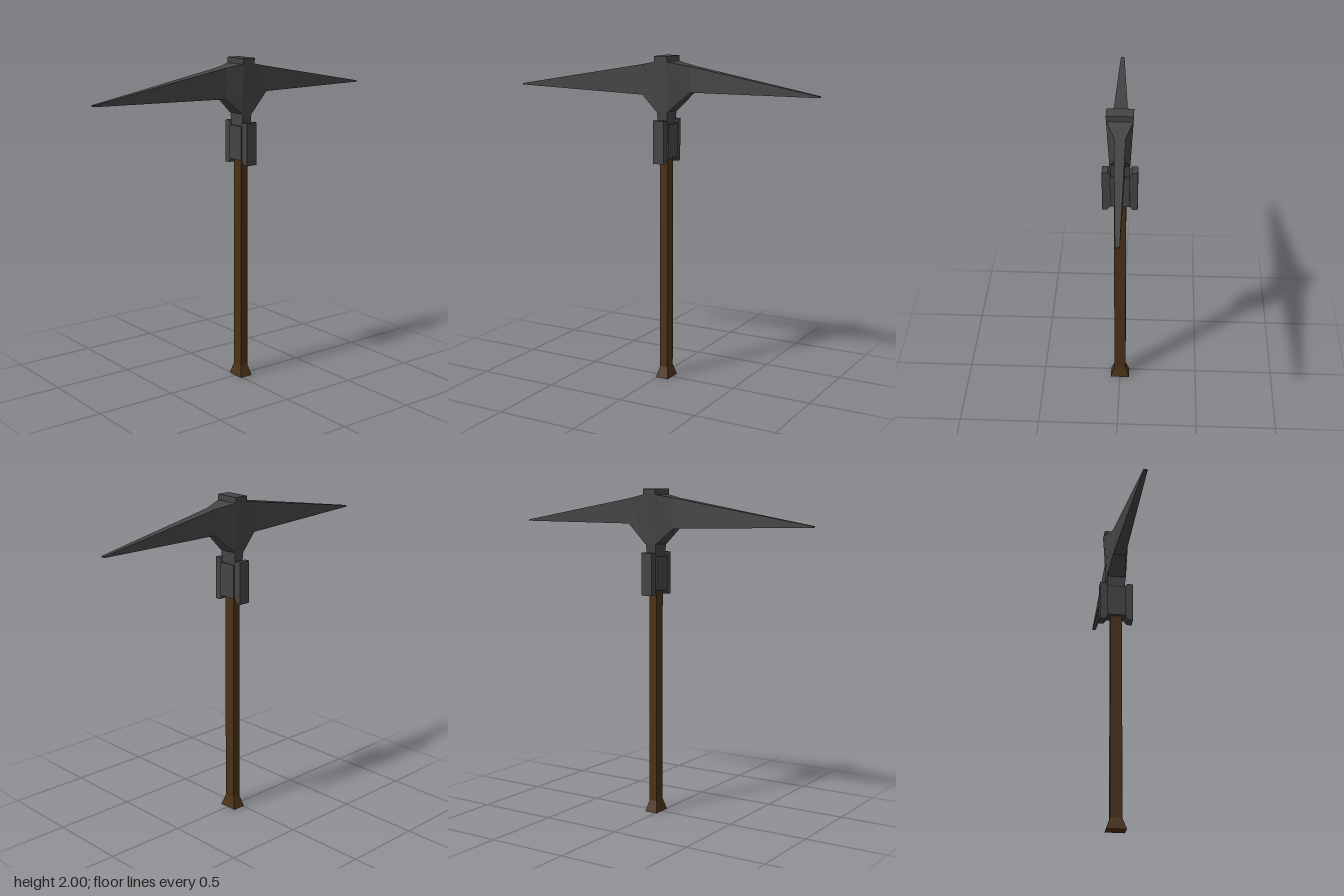
import * as THREE from 'three';

const iron = new THREE.MeshStandardMaterial({ color: 0x444444, flatShading: true });
const wood = new THREE.MeshStandardMaterial({ color: 0x4a3218, flatShading: true });
const MID = -0.035; // z of the handle's axis

// Closed solid through four-cornered rings, listed counter-clockwise seen from the far end
function loft(name, rings, material) {
  const pos = [];
  const quad = (a, b, c, d) => pos.push(...a, ...b, ...c, ...a, ...c, ...d);
  for (let i = 0; i < rings.length - 1; i++) {
    const r = rings[i], s = rings[i + 1];
    for (let j = 0; j < 4; j++) {
      const k = (j + 1) % 4;
      quad(r[j], r[k], s[k], s[j]);
    }
  }
  const first = rings[0], last = rings[rings.length - 1];
  quad(first[3], first[2], first[1], first[0]);
  quad(...last);
  const g = new THREE.BufferGeometry();
  g.setAttribute('position', new THREE.Float32BufferAttribute(pos, 3));
  g.computeVertexNormals();
  const mesh = new THREE.Mesh(g, material);
  mesh.name = name;
  return mesh;
}

// Horizontal ring at height y, with half widths in x and z
const level = ([y, hx, hz]) => [
  [-hx, y, MID - hz], [-hx, y, MID + hz], [hx, y, MID + hz], [hx, y, MID - hz],
];

// Upright ring at depth z: bottom and top heights, then x range at the bottom and at the top
const slice = ([z, y0, y1, a0, a1, b0 = a0, b1 = a1]) => [
  [a0, y0, z], [a1, y0, z], [b1, y1, z], [b0, y1, z],
];

export function createModel() {
  const group = new THREE.Group();
  group.name = 'pickaxe';

  // Wooden shaft with flared foot
  group.add(loft('handle', [
    [0, 0.06, 0.042], [0.07, 0.036, 0.025], [1.42, 0.036, 0.025],
  ].map(level), wood));

  // Collar and neck
  group.add(loft('collar', [[1.39, 0.058, 0.045], [1.595, 0.058, 0.045]].map(level), iron));
  group.add(loft('neck', [[1.59, 0.053, 0.031], [1.68, 0.06, 0.034]].map(level), iron));

  // Side flanges with chamfered inner corners
  for (const side of [-1, 1]) {
    const outline = [
      [0.052, 1.39], [0.075, 1.362], [0.105, 1.362],
      [0.105, 1.62], [0.07, 1.62], [0.052, 1.598],
    ].map(([x, y]) => new THREE.Vector2(side * x, y));
    const g = new THREE.ExtrudeGeometry(new THREE.Shape(outline), { depth: 0.072, bevelEnabled: false });
    g.translate(0, 0, MID - 0.036);
    const flange = new THREE.Mesh(g, iron);
    flange.name = side > 0 ? 'leftFlange' : 'rightFlange';
    group.add(flange);
  }

  // Head: both points taper from the central block towards opposite sides
  group.add(loft('head', [
    [-1, 1.792, 1.8, -0.037, -0.013],
    [-0.21, 1.79, 1.942, -0.038, 0.027],
    [-0.073, 1.67, 1.967, -0.06, 0.06, -0.077, 0.077],
    [0.003, 1.67, 1.967, -0.06, 0.06, -0.077, 0.077],
    [0.11, 1.765, 1.947, -0.038, 0.041],
    [1, 1.789, 1.797, 0.013, 0.036],
  ].map(slice), iron));

  // Cap on top of the head
  group.add(loft('cap', [[1.966, 0.077, 0.043], [2, 0.078, 0.043]].map(level), iron));

  return group;
}
